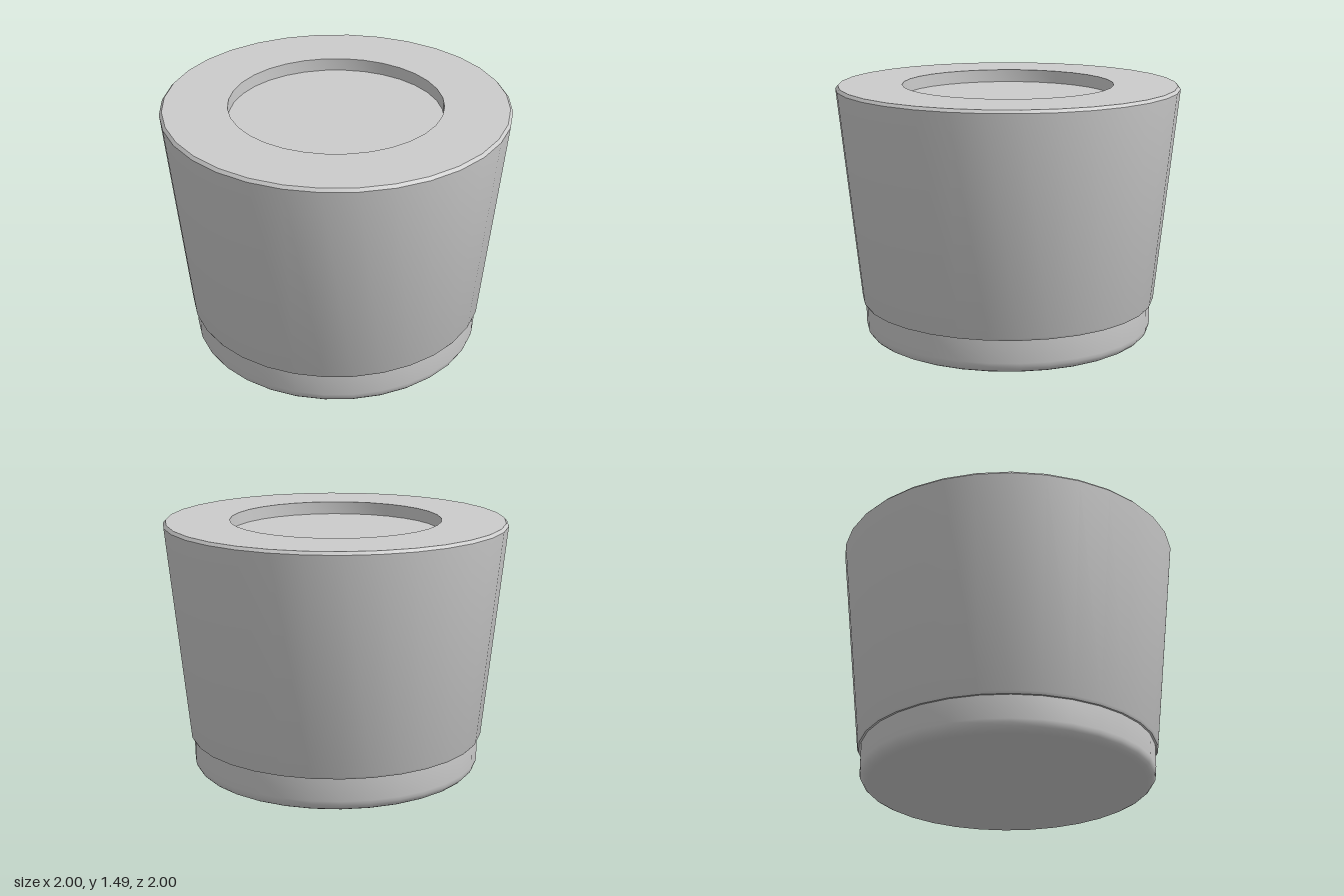
import * as THREE from 'three';
import { toCreasedNormals } from 'three/addons/utils/BufferGeometryUtils.js';

const SIDES = 32;

// Revolved part from [radius, height] pairs, smooth around with crisp profile edges
function turned(name, profile, material) {
  const points = profile.map(([r, y]) => new THREE.Vector2(r, y));
  const geometry = toCreasedNormals(new THREE.LatheGeometry(points, SIDES), 0.55);
  const mesh = new THREE.Mesh(geometry, material);
  mesh.name = name;
  return mesh;
}

export function createModel() {
  const group = new THREE.Group();
  group.name = 'taperedKnob';
  const grey = new THREE.MeshStandardMaterial({ color: 0xcccccc });

  // Base plug: flat underside with a rounded lower edge
  const radius = 0.85, fillet = 0.065, steps = 5;
  const baseProfile = [[0, 0]];
  for (let i = 0; i <= steps; i++) {
    const a = (i / steps) * Math.PI / 2;
    baseProfile.push([
      radius - fillet + fillet * Math.sin(a),
      fillet - fillet * Math.cos(a),
    ]);
  }
  baseProfile.push([radius, 0.2]);
  group.add(turned('base', baseProfile, grey));

  // Tapered body: chamfered lower and upper rims, shallow round recess on top
  group.add(turned('body', [
    [0.84, 0.2],
    [0.862, 0.2],
    [0.87, 0.215],
    [1.0, 1.468],
    [0.985, 1.485],
    [0.615, 1.485],
    [0.615, 1.41],
    [0, 1.41],
  ], grey));

  return group;
}
